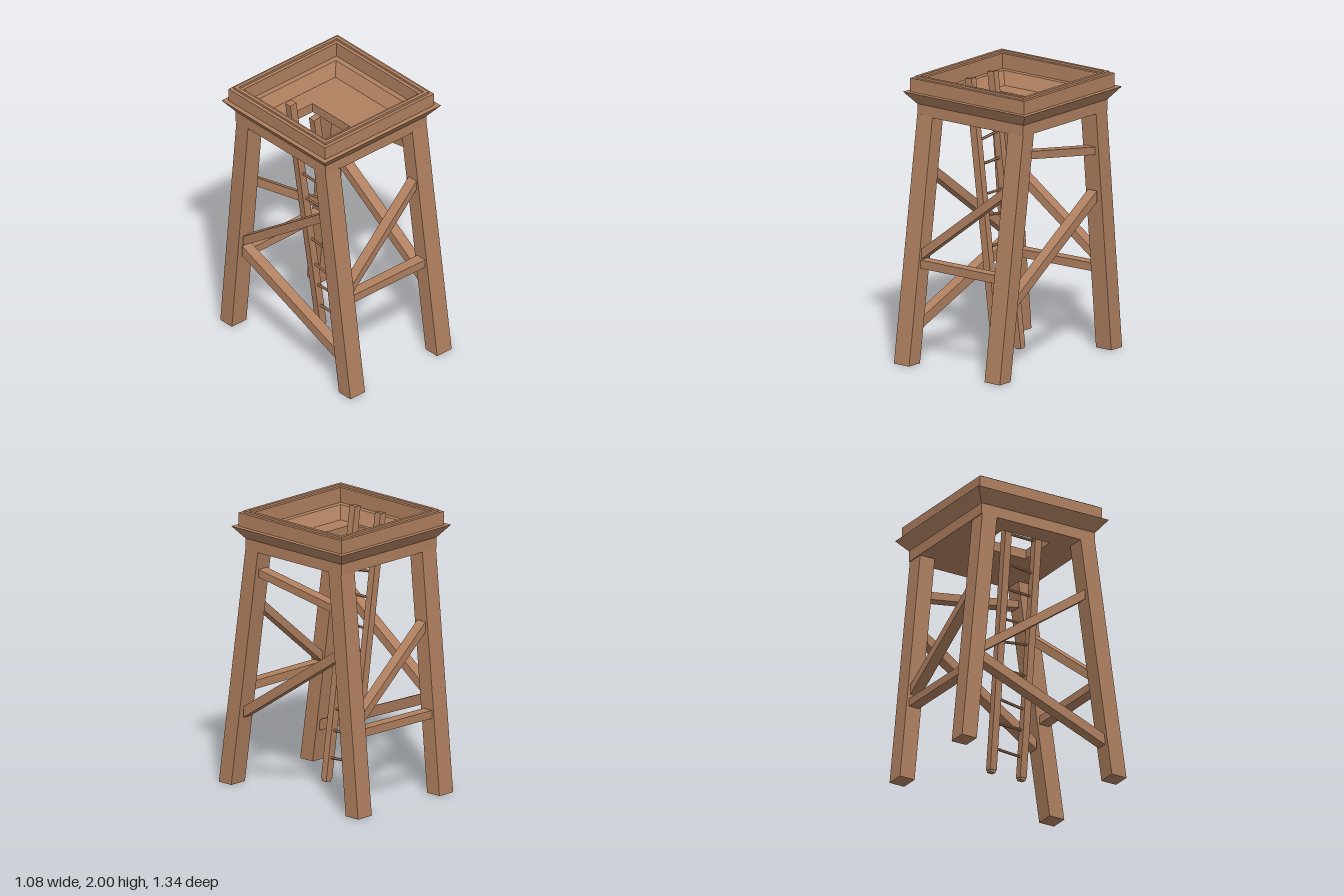
import * as THREE from 'three';

const wood = new THREE.MeshStandardMaterial({ color: 0xb08060 });
const V = (x, y, z) => new THREE.Vector3(x, y, z);

function flatMesh(name, geometry) {
  const g = geometry.index ? geometry.toNonIndexed() : geometry;
  g.computeVertexNormals();
  const mesh = new THREE.Mesh(g, wood);
  mesh.name = name;
  return mesh;
}

// Straight timber from a to b; u and v are its cross-section edges at both ends
function beam(name, a, b, u, v) {
  const dir = b.clone().sub(a);
  if (dir.clone().cross(u).dot(v) < 0) v = v.clone().negate();
  const g = new THREE.BoxGeometry(1, 1, 1);
  const p = g.attributes.position;
  for (let i = 0; i < p.count; i++) {
    const q = a.clone().addScaledVector(dir, p.getX(i) + 0.5)
      .addScaledVector(u, p.getY(i)).addScaledVector(v, p.getZ(i));
    p.setXYZ(i, q.x, q.y, q.z);
  }
  return flatMesh(name, g);
}

const frontZ = y => 0.61 - 0.148 * y;   // centre line of the front legs
const backZ = y => -0.61 + 0.096 * y;   // centre line of the back legs

export function createModel() {
  const tower = new THREE.Group();
  tower.name = 'watchtower';

  // Legs, leaning inward front to back
  for (const s of [-1, 1]) {
    for (const [name, z] of [['frontLeg', frontZ], ['backLeg', backZ]]) {
      const x = s * 0.4025;
      tower.add(beam(name, V(x, 0, z(0)), V(x, 1.73, z(1.73)), V(0.135, 0, 0), V(0, 0, 0.119)));
    }
  }

  // Front and back braces: leg line, height at -x, height at +x, timber height
  const crossBraces = [
    ['frontRail', frontZ, 0.705, 0.705, 0.06],
    ['frontDiagonal', frontZ, 0.773, 1.308, 0.072],
    ['backRail', backZ, 0.571, 0.578, 0.058],
    ['backDiagonal', backZ, 1.19, 0.675, 0.072],
  ];
  for (const [name, z, y0, y1, h] of crossBraces) {
    tower.add(beam(name, V(-0.338, y0, z(y0)), V(0.338, y1, z(y1)), V(0, h, 0), V(0, 0, 0.08)));
  }

  // Side braces: side, front z and y, back z and y, timber height
  const sideBraces = [
    ['leftUpperBrace', 1, 0.313, 1.562, -0.405, 1.448, 0.056],
    ['leftDiagonal', 1, 0.46, 0.536, -0.428, 1.118, 0.078],
    ['rightDiagonal', -1, 0.348, 1.328, -0.468, 0.737, 0.075],
    ['rightLowerBrace', -1, 0.51, 0.265, -0.475, 0.652, 0.078],
  ];
  for (const [name, s, z0, y0, z1, y1, h] of sideBraces) {
    const x = s * 0.4025;
    tower.add(beam(name, V(x, y0, z0), V(x, y1, z1), V(0, h, 0), V(0.08, 0, 0)));
  }

  // Platform rim: one square profile with flared skirt, parapet and top ridge
  const profile = [
    [0.47, 1.72], [0.47, 1.8], [0.54, 1.888], [0.505, 1.888], [0.505, 1.985],
    [0.48, 1.985], [0.48, 2], [0.455, 2], [0.455, 1.985], [0.43, 1.985],
    [0.43, 1.878], [0.39, 1.878], [0.337, 1.79], [0.337, 1.72], [0.47, 1.72],
  ].map(([r, y]) => new THREE.Vector2(r * Math.SQRT2, y));
  const rimGeometry = new THREE.LatheGeometry(profile, 4, Math.PI / 4);
  rimGeometry.scale(1, 1, 0.983);
  rimGeometry.translate(0, 0, -0.049);
  tower.add(flatMesh('platformRim', rimGeometry));

  // Floor with the ladder hatch
  const rect = (shape, x0, x1, z0, z1) =>
    shape.moveTo(x0, z0).lineTo(x1, z0).lineTo(x1, z1).lineTo(x0, z1).closePath();
  const floorShape = rect(new THREE.Shape(), -0.338, 0.338, -0.382, 0.284);
  floorShape.holes.push(rect(new THREE.Path(), -0.31, 0, -0.24, 0.145));
  const floorGeometry = new THREE.ExtrudeGeometry(floorShape, { depth: 0.07, bevelEnabled: false });
  floorGeometry.rotateX(Math.PI / 2);
  floorGeometry.translate(0, 1.79, 0);
  tower.add(flatMesh('floor', floorGeometry));

  // Ladder leaning up through the hatch
  const ladder = new THREE.Group();
  ladder.name = 'ladder';
  const ladderPoint = (y, z) => V(-0.009 - 0.135 * (y - 0.02), y, z - 0.0125 * y);
  for (const z of [0.102, -0.142]) {
    const foot = ladderPoint(0.035, z), head = ladderPoint(1.95, z);
    ladder.add(beam('ladderRail', foot, head, V(0.056, 0.0075, 0), V(0, 0, 0.052)));
    // Narrowed foot
    ladder.add(beam('railFoot', ladderPoint(0.018, z), foot, V(0.046, 0.006, 0), V(0, 0, 0.042)));
  }
  // Rungs: heights at the front and back rails
  const rungs = [
    [0.185, 0.2], [0.38, 0.378], [0.525, 0.56], [0.766, 0.778], [0.995, 0.965],
    [1.133, 1.133], [1.342, 1.35], [1.505, 1.535], [1.74, 1.745],
  ];
  for (const [y0, y1] of rungs) {
    const a = ladderPoint(y0, 0.102), b = ladderPoint(y1, -0.142);
    const curve = new THREE.LineCurve3(a, b);
    ladder.add(flatMesh('rung', new THREE.TubeGeometry(curve, 1, 0.01, 6)));
  }
  tower.add(ladder);

  return tower;
}
